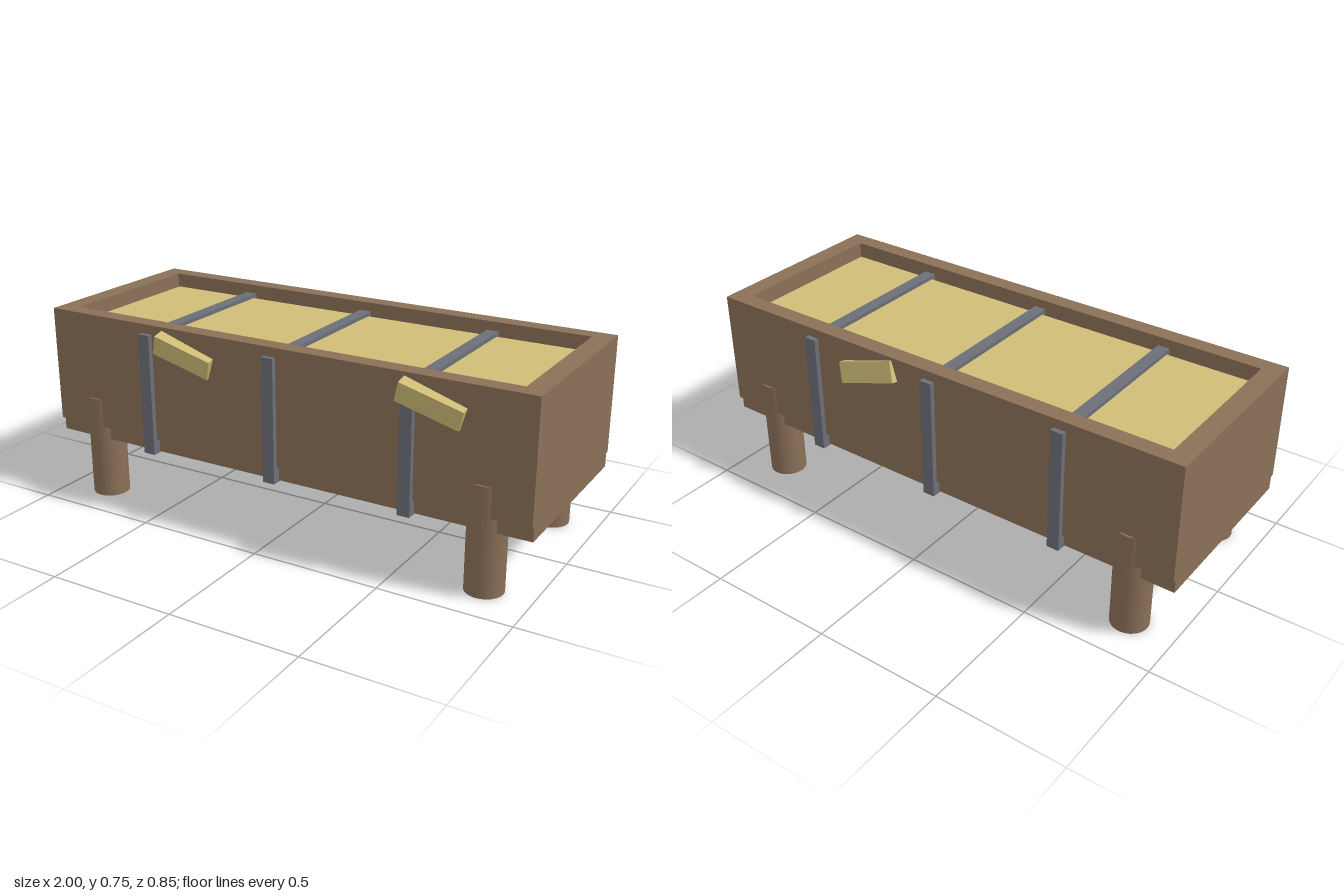
import * as THREE from 'three';

const wood = new THREE.MeshStandardMaterial({ color: 0x8b7058 });
const hay = new THREE.MeshStandardMaterial({ color: 0xcfbc76 });
const iron = new THREE.MeshStandardMaterial({ color: 0x6c6f78 });

export function createModel() {
  const model = new THREE.Group();
  model.name = 'feedingTrough';

  const add = (name, geometry, material, x, y, z) => {
    const mesh = new THREE.Mesh(geometry, material);
    mesh.name = name;
    mesh.position.set(x, y, z);
    model.add(mesh);
    return mesh;
  };
  const box = (name, material, [w, h, d], [x, y, z]) =>
    add(name, new THREE.BoxGeometry(w, h, d), material, x, y, z);

  // Walls: a rectangular frame with an open middle, extruded upwards
  const rectangle = (path, x, z) =>
    path.moveTo(-x, -z).lineTo(x, -z).lineTo(x, z).lineTo(-x, z).closePath();
  const frame = rectangle(new THREE.Shape(), 1, 0.38);
  frame.holes.push(rectangle(new THREE.Path(), 0.925, 0.315));
  const wallGeometry = new THREE.ExtrudeGeometry(frame, { depth: 0.453, bevelEnabled: false });
  wallGeometry.rotateX(-Math.PI / 2);
  add('walls', wallGeometry, wood, 0, 0.297, 0);

  // Floor, set in slightly at the front and back
  box('floor', wood, [2, 0.055, 0.73], [0, 0.2715, 0]);

  // Hay filling
  box('hay', hay, [1.81, 0.405, 0.59], [0, 0.4975, 0]);

  // Iron bands running through the trough
  for (const x of [-0.545, 0, 0.545])
    box('band', iron, [0.048, 0.475, 0.8], [x, 0.4775, 0]);

  // Round legs, let into the long walls
  const legGeometry = new THREE.CylinderGeometry(0.0715, 0.0715, 0.41, 24);
  for (const x of [-0.82, 0.82])
    for (const z of [-0.3175, 0.3175]) add('leg', legGeometry, wood, x, 0.205, z);

  // Tufts of hay poking out of the sides
  for (const [x, z] of [[-0.37, 0.378], [0.63, 0.378], [0.27, -0.378]])
    box('hayTuft', hay, [0.24, 0.08, 0.06], [x, 0.662, z]).rotation.set(0.23, 0, -0.3);

  return model;
}
